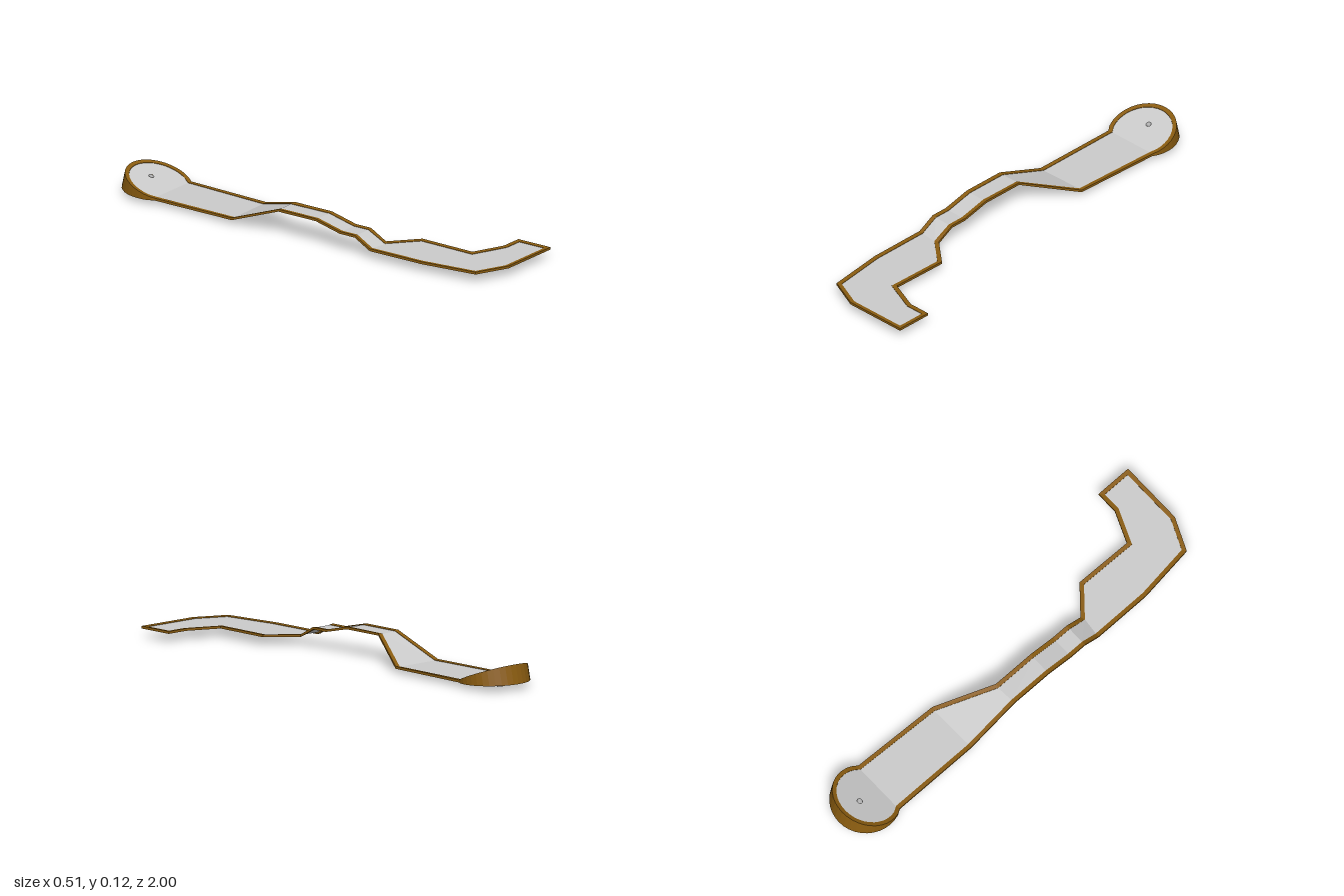
import * as THREE from 'three';

const grey = new THREE.MeshStandardMaterial({ color: 0xcccccc, side: THREE.DoubleSide, flatShading: true });
const brown = new THREE.MeshStandardMaterial({ color: 0x8a5c10, flatShading: true });

const CUP = { x: -0.097, z: -0.844, r: 0.156, start: -0.765 };
const RAIL_WIDTH = 0.019;

// Lane height along its length (z, y)
const PROFILE = [[-1, 0.108], [CUP.start, 0.027], [-0.35, 0.027], [-0.1, 0.12], [0.1, 0.12],
  [0.23, 0.09], [0.31, 0.09], [0.39, 0.046], [1, 0.046]];

function heightAt(z) {
  for (let i = 1; i < PROFILE.length; i++) {
    const [z0, y0] = PROFILE[i - 1], [z1, y1] = PROFILE[i];
    if (z <= z1) return y0 + (y1 - y0) * Math.max(0, (z - z0) / (z1 - z0));
  }
  return PROFILE[PROFILE.length - 1][1];
}

// The tilted end dish leans forward as it rises
const rise = z => (z < CUP.start ? heightAt(z) - 0.027 : 0);
const lean = z => z + rise(z) * 0.25;

// Matching stations down the left and right edges, the angled foot, and the round end
const STATIONS = [CUP.start, -0.35, -0.1, 0.1, 0.23, 0.31, 0.39];
const RIGHT_X = [0.036, 0.02, -0.111, -0.111, -0.111, -0.111, -0.111];
const FOOT = [[-0.227, 0.665], [-0.193, 0.932], [-0.045, 0.998], [0.253, 0.998], [0.253, 0.827],
  [0.15, 0.827], [0.006, 0.766], [0.01, 0.495]];

function makeOutline() {
  const points = STATIONS.map(z => [-0.228, z]);
  points.push(...FOOT);
  for (let i = STATIONS.length - 1; i >= 0; i--) points.push([RIGHT_X[i], STATIONS[i]]);
  const a0 = Math.asin((CUP.start - CUP.z) / CUP.r), n = 24;
  for (let i = 1; i < n; i++) {
    const a = a0 - (Math.PI + 2 * a0) * i / n;
    points.push([CUP.x + CUP.r * Math.cos(a), CUP.z + CUP.r * Math.sin(a)]);
  }
  return points;
}

// Mitred inward offset of a closed outline
function inset(points, w) {
  const n = points.length;
  const normal = (a, b) => {
    const dx = b[0] - a[0], dz = b[1] - a[1], l = Math.hypot(dx, dz);
    return [dz / l, -dx / l];
  };
  return points.map((p, i) => {
    const a = normal(points[(i + n - 1) % n], p), b = normal(p, points[(i + 1) % n]);
    const k = w / (1 + a[0] * b[0] + a[1] * b[1]);
    return [p[0] + (a[0] + b[0]) * k, p[1] + (a[1] + b[1]) * k];
  });
}

// Border rail: a four-cornered section carried around the outline
function railGeometry(outer, inner) {
  const sections = outer.map(([x, z], i) => {
    const [u, v] = inner[i];
    const y = heightAt(z), yi = heightAt(v);
    const low = y - rise(z) * 0.9 - 0.007;
    return [[x, low, z], [x, y + 0.004, lean(z)], [u, yi + 0.002, lean(v)],
      [u, yi - rise(v) * 0.9 - 0.007, v]];
  });
  const pos = [];
  sections.forEach((s, i) => {
    const t = sections[(i + 1) % sections.length];
    for (let k = 0; k < 4; k++) {
      const m = (k + 1) % 4;
      pos.push(...s[k], ...t[k], ...s[m], ...t[k], ...t[m], ...s[m]);
    }
  });
  const g = new THREE.BufferGeometry();
  g.setAttribute('position', new THREE.Float32BufferAttribute(pos, 3));
  g.computeVertexNormals();
  return g;
}

// Flat panel in plan, lifted to the lane height
function floorGeometry(points, hole) {
  const shape = new THREE.Shape(points.map(([x, z]) => new THREE.Vector2(x, -z)));
  if (hole) shape.holes.push(new THREE.Path().absarc(hole.x, -hole.z, hole.r, 0, Math.PI * 2, true));
  const g = new THREE.ShapeGeometry(shape, 12).rotateX(-Math.PI / 2);
  const p = g.attributes.position;
  for (let i = 0; i < p.count; i++) {
    const z = p.getZ(i);
    p.setXYZ(i, p.getX(i), heightAt(z), lean(z));
  }
  g.computeVertexNormals();
  return g;
}

export function createModel() {
  const group = new THREE.Group();
  const add = (name, geometry, material) => {
    const mesh = new THREE.Mesh(geometry, material);
    mesh.name = name;
    group.add(mesh);
    return mesh;
  };

  const outer = makeOutline();
  const inner = inset(outer, RAIL_WIDTH);
  add('borderRail', railGeometry(outer, inner), brown);

  // Lane ramps between neighbouring stations
  const s = STATIONS.length, lastRight = s + FOOT.length + s - 1;
  for (let i = 0; i < s - 1; i++) {
    add('laneFloor' + (i + 1),
      floorGeometry([inner[i], inner[i + 1], inner[lastRight - i - 1], inner[lastRight - i]]), grey);
  }

  // Angled foot where the lane starts
  add('footFloor', floorGeometry(inner.slice(s - 1, lastRight - s + 2)), grey);

  // Tilted dish with its hole
  const hole = { x: -0.098, z: -0.89, r: 0.012 };
  add('dishFloor', floorGeometry([...inner.slice(lastRight), inner[0]], hole), grey);

  // Open tube under the hole, cut to the slope of the dish
  const tube = new THREE.CylinderGeometry(hole.r, hole.r, 1, 12, 1, true);
  const p = tube.attributes.position;
  for (let i = 0; i < p.count; i++) {
    p.setY(i, p.getY(i) > 0 ? heightAt(hole.z + p.getZ(i)) : 0);
  }
  tube.computeVertexNormals();
  add('holeTube', tube, grey).position.set(hole.x, 0, lean(hole.z));

  return group;
}
